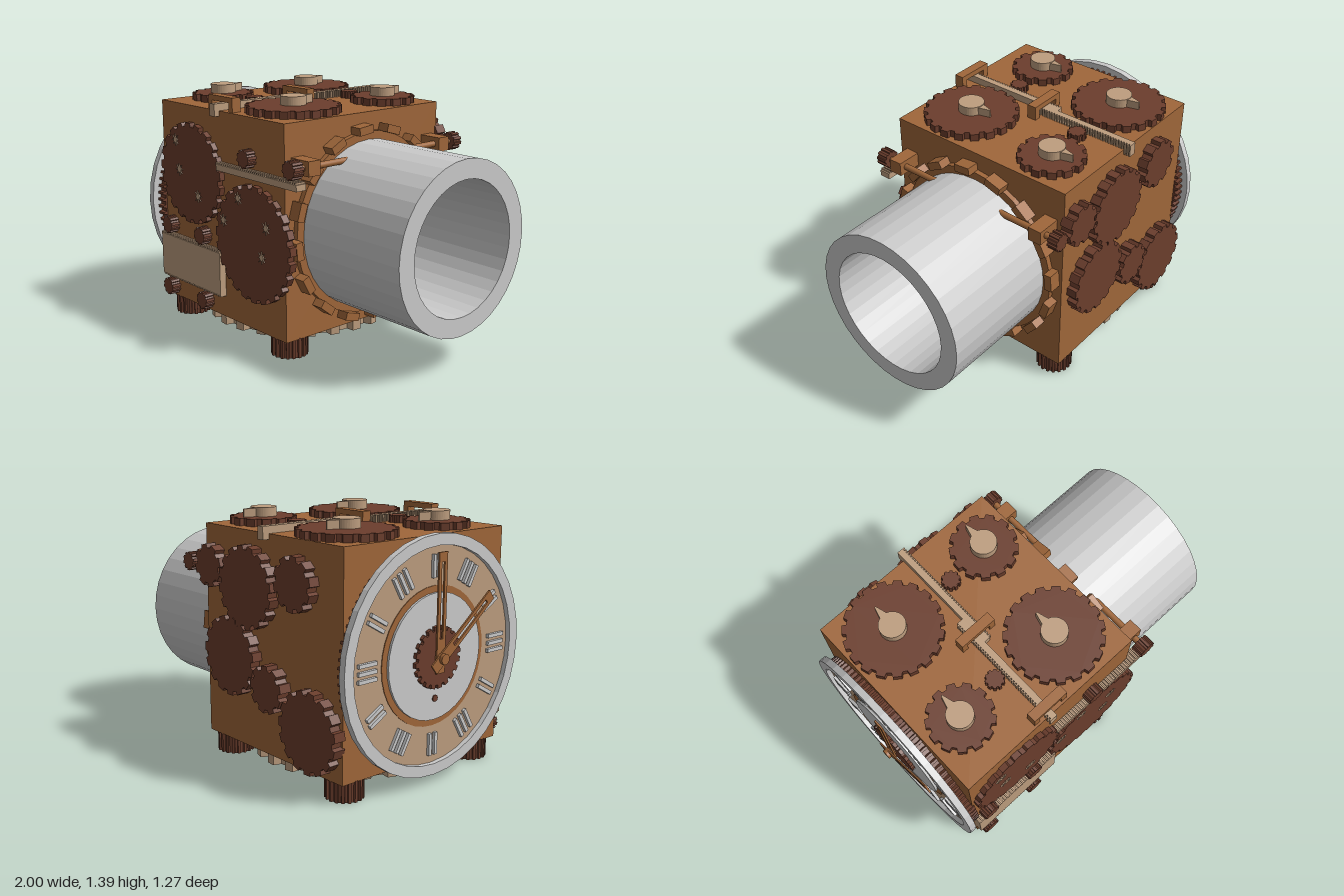
import * as THREE from 'three';

const mat = (name, color) => {
  const m = new THREE.MeshStandardMaterial({ color });
  m.name = name;
  return m;
};

export function createModel() {
  const brown = mat('copperBrown', 0xa0673a);
  const dark = mat('darkBrown', 0x6c3e2d);
  const tan = mat('paleTan', 0xbe9e7f);
  const silver = mat('silver', 0xcccccc);

  const model = new THREE.Group();
  const CY = 0.685; // height of the tube and dial axis
  const CX = -0.295; // middle of the case

  // One group per side of the case; local +z points outwards
  const side = (name, rx, ry) => {
    const g = new THREE.Group();
    g.name = name;
    g.rotation.set(rx, ry, 0);
    model.add(g);
    return g;
  };
  const front = side('frontSide', 0, 0);
  const back = side('backSide', 0, Math.PI);
  const right = side('tubeSide', 0, Math.PI / 2);
  const left = side('dialSide', 0, -Math.PI / 2);
  const top = side('topSide', -Math.PI / 2, 0);
  const bottom = side('bottomSide', Math.PI / 2, 0);

  const add = (parent, name, geo, material, x, y, z) => {
    const m = new THREE.Mesh(geo, material);
    m.name = name;
    m.position.set(x, y, z);
    parent.add(m);
    return m;
  };
  const box = (parent, name, material, w, h, d, x, y, z) =>
    add(parent, name, new THREE.BoxGeometry(w, h, d), material, x, y, z);
  const plate = (parent, name, material, shape, x, y, z0, z1) =>
    add(parent, name,
      new THREE.ExtrudeGeometry(shape, { depth: z1 - z0, bevelEnabled: false, curveSegments: 32 }),
      material, x, y, z0);

  // Circle outline with an optional hole
  const disc = (r, hole) => {
    const n = 36;
    const pts = (q) => Array.from({ length: n }, (_, i) => {
      const a = (i / n) * Math.PI * 2;
      return new THREE.Vector2(q * Math.cos(a), q * Math.sin(a));
    });
    const s = new THREE.Shape(pts(r));
    if (hole) s.holes.push(new THREE.Path(pts(hole)));
    return s;
  };

  // Gear outline: wide blocky teeth with narrow gaps
  const cog = (r, n = Math.round((Math.PI * 2 * r) / 0.09), root = r - 0.022, wide = 0.6) => {
    const pts = [];
    const step = (Math.PI * 2) / n;
    for (let i = 0; i < n; i++) {
      for (const [t, q] of [[0, root], [0.08, r], [wide, r], [wide + 0.08, root]]) {
        const a = (i + t) * step;
        pts.push(new THREE.Vector2(q * Math.cos(a), q * Math.sin(a)));
      }
    }
    return new THREE.Shape(pts);
  };
  const pinion = () => cog(0.052, 10, 0.044, 0.55);

  // Toothed bar, optionally toothed on both long edges
  const rack = (w, h, n, both) => {
    const pts = [];
    const p = w / n, d = 0.01;
    const edge = (s) => {
      for (let i = 0; i < n; i++) {
        for (const [t, k] of [[0, 0], [0.5, 0], [0.5, d], [1, d]])
          pts.push(new THREE.Vector2(s * (-w / 2 + (i + t) * p), s * (h / 2 - k)));
      }
    };
    edge(1);
    if (both) edge(-1);
    else pts.push(new THREE.Vector2(w / 2, -h / 2), new THREE.Vector2(-w / 2, -h / 2));
    return new THREE.Shape(pts);
  };

  // Case
  box(model, 'case', brown, 1.13, 1.19, 1.14, CX, 0.705, 0);

  // Front: two large gears with star rivets
  const frontGears = [
    [-0.55, 0.91, 0.295, [[-0.68, 1.09], [-0.65, 0.92], [-0.47, 0.79]]],
    [0.02, 0.61, 0.33, [[-0.09, 0.85], [-0.23, 0.7], [0.15, 0.73], [0.11, 0.56]]],
  ];
  for (const [x, y, r, stars] of frontGears) {
    plate(front, 'frontGear', dark, cog(r), x, y, 0.56, 0.602);
    for (const [sx, sy] of stars)
      plate(front, 'starRivet', tan, cog(0.035, 8, 0.018, 0.1), sx, sy, 0.6, 0.608);
  }
  const frontPinions = [[-0.015, 1.08], [0.365, 1.08], [-0.775, 0.565], [-0.445, 0.565], [-0.79, 0.175], [-0.44, 0.175]];
  for (const [x, y] of frontPinions)
    plate(front, 'frontPinion', dark, pinion(), x, y, 0.56, 0.625);
  plate(front, 'frontRack', tan, rack(0.69, 0.045, 40), 0.065, 0.998, 0.545, 0.61);
  plate(front, 'toothedPanel', tan, rack(0.59, 0.27, 34, true), -0.565, 0.372, 0.56, 0.61);

  // Back: gear train
  const backGears = [
    [-0.148, 1.005, 0.225], [0, 0.61, 0.22], [-0.65, 0.34, 0.22],
    [0.18, 1.08, 0.12], [-0.54, 1.08, 0.145], [-0.333, 0.495, 0.13],
  ];
  backGears.forEach(([x, y, r], i) =>
    plate(back, 'backGear', dark, cog(r), -x, y, 0.56, i === 5 ? 0.64 : 0.63));
  plate(back, 'backPinion', dark, pinion(), -0.365, 1.08, 0.57, 0.63);

  // Top: four gears with pointer hubs
  const topGears = [[-0.585, -0.305, 0.265], [0.065, -0.33, 0.185], [-0.65, 0.28, 0.18], [-0.005, 0.28, 0.265]];
  for (const [x, z, r] of topGears) {
    plate(top, 'topGear', dark, cog(r), x, -z, 1.29, 1.34);
    plate(top, 'hub', tan, disc(0.072), x, -z, 1.33, 1.39);
    const tip = new THREE.Shape();
    tip.moveTo(-0.025, 0.06).lineTo(0.025, 0.06).lineTo(0.004, 0.135).lineTo(-0.004, 0.135);
    plate(top, 'hubPointer', tan, tip, x, -z, 1.33, 1.385);
  }
  for (const [x, z] of [[-0.19, -0.305], [-0.39, 0.25]])
    plate(top, 'topPinion', dark, pinion(), x, -z, 1.29, 1.34);
  plate(top, 'topRackRear', tan, rack(0.68, 0.045, 40), -0.27, 0.27, 1.27, 1.34).rotation.z = -Math.PI / 2;
  plate(top, 'topRackFront', tan, rack(0.7, 0.045, 40), -0.315, -0.25, 1.27, 1.34).rotation.z = Math.PI / 2;

  // Arched guides over the top racks
  for (const z of [0, 0.53]) {
    box(model, 'guideBeam', brown, 0.22, 0.03, 0.055, CX, 1.365, z);
    for (const s of [-1, 1]) box(model, 'guidePost', brown, 0.035, 0.07, 0.055, CX + s * 0.0925, 1.325, z);
  }

  // Tube side: collar with blocks, open tube and inner gear
  plate(right, 'collar', brown, disc(0.515), 0, CY, 0.26, 0.3);
  plate(right, 'tube', silver, disc(0.47, 0.365), 0, CY, 0.29, 1.0);
  plate(right, 'innerPlate', tan, disc(0.366), 0, CY, 0.28, 0.315);
  plate(right, 'innerRing', brown, disc(0.22), 0, CY, 0.3, 0.322);
  plate(right, 'innerDisc', dark, disc(0.205), 0, CY, 0.31, 0.328);
  for (let i = 0; i < 16; i++) {
    const a = ((6 + i * 22.5) * Math.PI) / 180;
    for (const [name, r, w, h, d, z] of [['collarTooth', 0.532, 0.1, 0.045, 0.08, 0.302], ['innerTooth', 0.348, 0.075, 0.026, 0.04, 0.315]])
      box(right, name, brown, w, h, d, -r * Math.sin(a), CY + r * Math.cos(a), z).rotation.z = a;
  }

  // Cross shaft with bearing blocks
  const shaft = add(model, 'crossShaft', new THREE.CylinderGeometry(0.018, 0.018, 1.2, 12), brown, 0.365, 1.08, 0);
  shaft.rotation.x = Math.PI / 2;
  for (const s of [-1, 1]) box(model, 'bearingBlock', brown, 0.15, 0.08, 0.08, 0.335, 1.08, s * 0.487);

  // Dial side: fine gear, rim, face and raised centre
  plate(left, 'dialGear', dark, cog(0.6, 90, 0.58, 0.4), 0, CY, 0.85, 0.905);
  plate(left, 'dialRim', silver, disc(0.635, 0.575), 0, CY, 0.902, 0.94);
  plate(left, 'dialFace', tan, disc(0.58), 0, CY, 0.895, 0.913);
  plate(left, 'dialInset', brown, disc(0.37), 0, CY, 0.91, 0.917);
  plate(left, 'dialCentre', silver, disc(0.335), 0, CY, 0.915, 0.93);
  plate(left, 'dialCog', dark, cog(0.165, 20, 0.145), 0, CY, 0.925, 0.95);
  plate(left, 'dialPin', dark, disc(0.018), 0.0, CY - 0.22, 0.925, 0.936);

  // Hour marks: clusters of plain bars
  for (let i = 0; i < 12; i++) {
    const mark = new THREE.Group();
    mark.name = 'hourMark';
    mark.position.set(0, CY, 0.92);
    mark.rotation.z = (i * Math.PI) / 6;
    const n = 2 + (i % 2);
    for (let k = 0; k < n; k++)
      box(mark, 'hourBar', silver, 0.02, 0.12, 0.02, (k - (n - 1) / 2) * 0.04, 0.47, 0);
    left.add(mark);
  }

  // Hands with slots, and their spindle
  const hand = (len, w) => {
    const s = new THREE.Shape();
    s.moveTo(-w, -0.08).lineTo(w, -0.08).lineTo(w, len).lineTo(-w, len);
    const slot = new THREE.Path();
    slot.moveTo(-w * 0.35, 0.1).lineTo(-w * 0.35, len - 0.05).lineTo(w * 0.35, len - 0.05).lineTo(w * 0.35, 0.1);
    s.holes.push(slot);
    return s;
  };
  plate(left, 'longHand', brown, hand(0.545, 0.03), 0, CY, 0.957, 0.967);
  plate(left, 'shortHand', brown, hand(0.46, 0.03), 0, CY, 0.973, 0.983).rotation.z = -0.9;
  plate(left, 'spindle', brown, disc(0.028), 0, CY, 0.93, 1.0);

  // Underside: turntable gear, discs and corner feet
  plate(bottom, 'baseGear', tan, cog(0.55, 24, 0.505, 0.45), CX, 0, -0.12, -0.045);
  plate(bottom, 'baseDisc', silver, disc(0.34), CX, 0, -0.06, -0.041);
  plate(bottom, 'baseHub', silver, disc(0.19), CX, 0, -0.05, -0.037);
  for (const x of [-0.76, 0.17])
    for (const z of [-0.467, 0.467])
      plate(bottom, 'foot', dark, cog(0.103, 18, 0.092, 0.5), x, z, -0.115, 0);

  return model;
}
